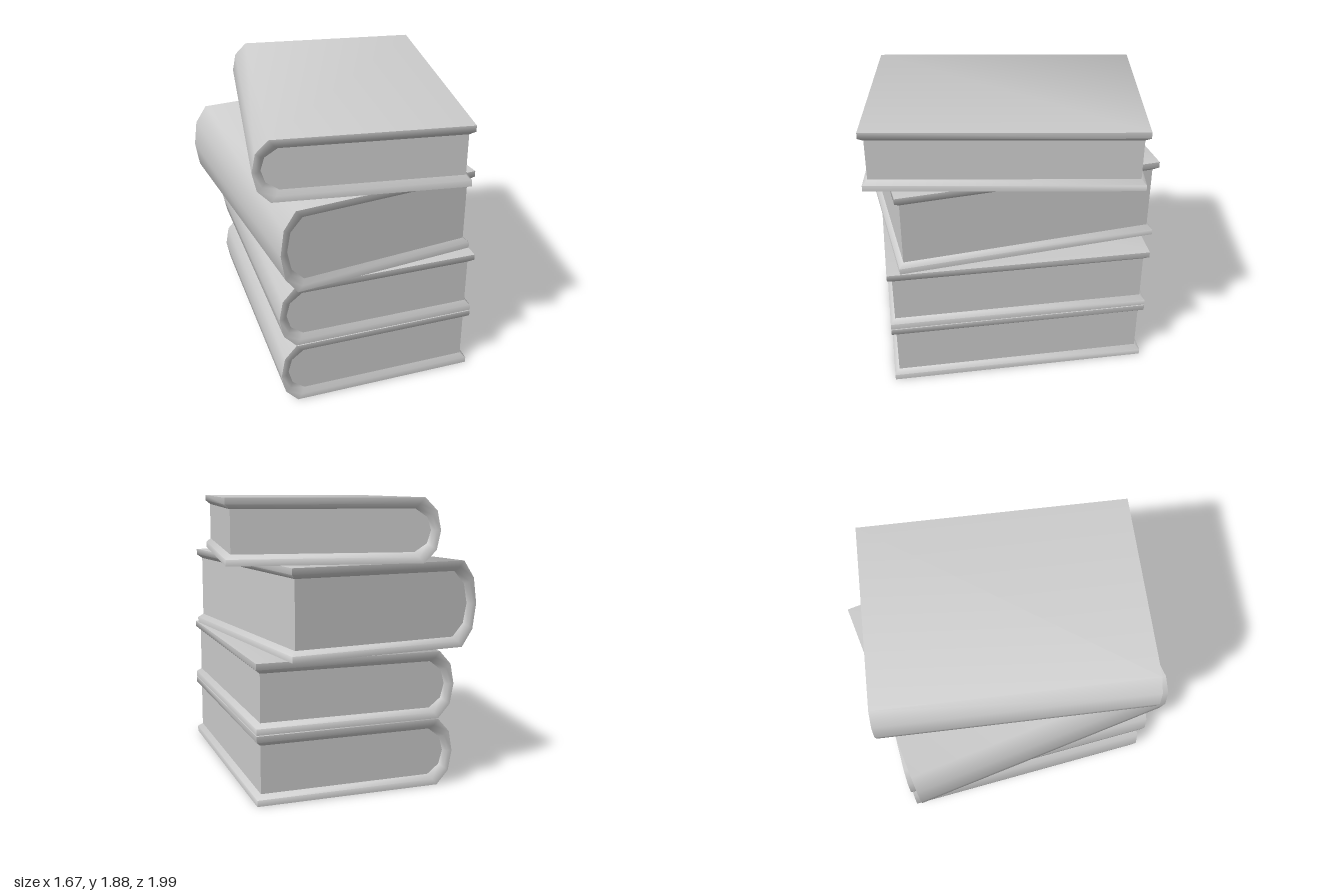
import * as THREE from 'three';
import { toCreasedNormals } from 'three/addons/utils/BufferGeometryUtils.js';

const WIDTH = 1.335, DEPTH = 1.76, LIP = 0.04, RECESS = 0.032, PAGE_INSET = 0.068;

const material = new THREE.MeshStandardMaterial({ color: 0xcccccc });

// C-shaped loop: bottom fore edge, round the spine, top fore edge
function section(height, inset, foreInset, z) {
  const half = height / 2;
  const spine = [[0.105, -1], [0.025, -0.6], [0, 0], [0.025, 0.6], [0.105, 1]];
  const fore = WIDTH / 2 - foreInset;
  const y = half - inset;
  return [
    new THREE.Vector3(fore, -y, z),
    ...spine.map(([x, k]) => new THREE.Vector3(-WIDTH / 2 + x + inset * 0.8, y * k, z)),
    new THREE.Vector3(fore, y, z),
  ];
}

function meshFrom(name, triangles) {
  const geometry = new THREE.BufferGeometry().setFromPoints(triangles);
  const mesh = new THREE.Mesh(toCreasedNormals(geometry, 1.0), material);
  mesh.name = name;
  return mesh;
}

const quad = (out, a, b, c, d) => out.push(a, b, c, a, c, d);

function makeBook(height) {
  const end = DEPTH / 2;
  // Page edge, inner lip and outer cover, front to back
  const loops = [
    section(height, PAGE_INSET, RECESS, end - RECESS),
    section(height, LIP, 0, end),
    section(height, 0, 0, end),
    section(height, 0, 0, -end),
    section(height, LIP, 0, -end),
    section(height, PAGE_INSET, RECESS, -end + RECESS),
  ];
  const last = loops[0].length - 1;

  // Cover: boards, rounded spine and sloping inner lips
  const cover = [];
  for (let s = 0; s < loops.length - 1; s++) {
    for (let i = 0; i < last; i++) {
      quad(cover, loops[s][i], loops[s][i + 1], loops[s + 1][i + 1], loops[s + 1][i]);
    }
  }
  // Fore edges of both boards
  for (let s = 0; s < 2; s++) {
    const [a, b, c, d] = [loops[s], loops[s + 1], loops[4 - s], loops[5 - s]];
    quad(cover, a[0], b[0], c[0], d[0]);
    quad(cover, b[last], a[last], d[last], c[last]);
  }

  // Pages: recessed fore edge and both ends
  const pages = [];
  const front = loops[0], back = loops[5];
  quad(pages, front[last], front[0], back[0], back[last]);
  for (let i = 1; i < last; i++) {
    pages.push(front[0], front[i + 1], front[i]);
    pages.push(back[0], back[i], back[i + 1]);
  }

  const book = new THREE.Group();
  book.add(meshFrom('cover', cover), meshFrom('pages', pages));
  return book;
}

export function createModel() {
  const stack = new THREE.Group();
  stack.name = 'bookStack';
  const books = [
    { name: 'bottomBook', y: 0, height: 0.447, x: -0.02, z: -0.012, turn: -3 },
    { name: 'secondBook', y: 0.453, height: 0.445, x: -0.02, z: -0.012, turn: -3 },
    { name: 'thickBook', y: 0.902, height: 0.57, x: -0.118, z: -0.022, turn: 3.6 },
    { name: 'topBook', y: 1.475, height: 0.405, x: 0, z: 0, turn: -11.7 },
  ];
  for (const { name, y, height, x, z, turn } of books) {
    const book = makeBook(height);
    book.name = name;
    book.position.set(x, y + height / 2, z);
    book.rotation.y = THREE.MathUtils.degToRad(turn);
    stack.add(book);
  }
  return stack;
}
